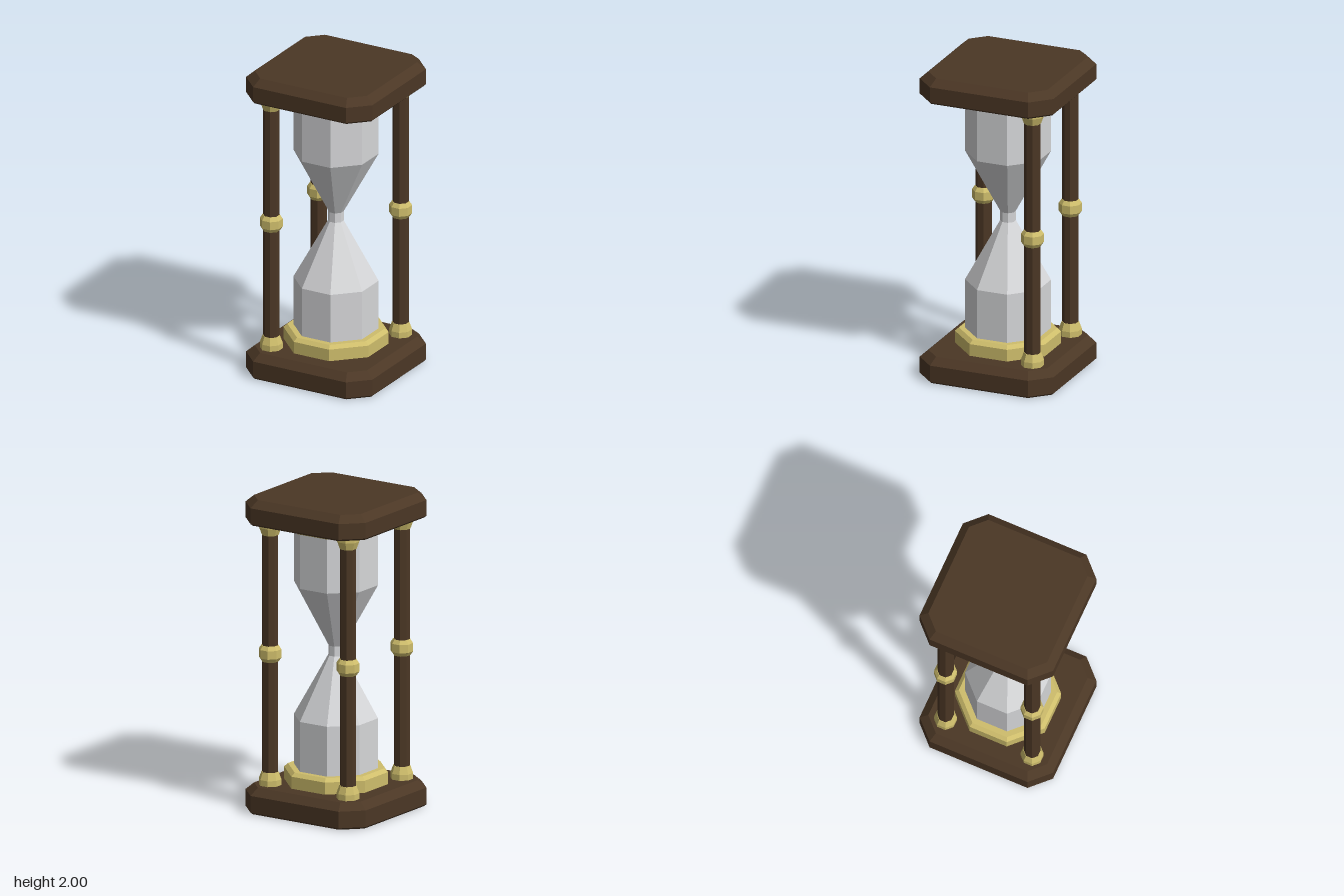
import * as THREE from 'three';

const wood = new THREE.MeshStandardMaterial({ color: 0x4b3725 });
wood.name = 'dark wood';
const brass = new THREE.MeshStandardMaterial({ color: 0xcfbe6c });
brass.name = 'brass';
const glass = new THREE.MeshStandardMaterial({ color: 0xd6d7d9 });
glass.name = 'pale glass';

// Faceted mesh: every face gets its own normal
function faceted(name, geometry, material) {
  const g = geometry.index ? geometry.toNonIndexed() : geometry;
  g.computeVertexNormals();
  const mesh = new THREE.Mesh(g, material);
  mesh.name = name;
  return mesh;
}

// Eight-sided turned part with flats facing the axes; profile is [half width, y], bottom to top
function turned(name, profile, material) {
  const k = 1 / Math.cos(Math.PI / 8);
  const points = profile.map(([r, y]) => new THREE.Vector2(r * k, y));
  return faceted(name, new THREE.LatheGeometry(points, 8, Math.PI / 8), material);
}

// Square outline with cut corners, inset evenly, anticlockwise in (x, -z)
function outline(inset) {
  const a = 0.45 - inset;
  const b = 0.78 - inset * Math.SQRT2 - a;
  return [[a, -b], [a, b], [b, a], [-b, a], [-a, b], [-a, -b], [-b, -a], [b, -a]];
}

// Plate lofted through [inset, y] sections, closed at both ends
function plate(name, sections) {
  const rings = sections.map(([inset, y]) => outline(inset).map(([x, w]) => [x, y, -w]));
  const pos = [];
  const tri = (...corners) => corners.forEach((c) => pos.push(...c));
  for (let s = 0; s < rings.length - 1; s++) {
    for (let i = 0; i < 8; i++) {
      const j = (i + 1) % 8;
      const [lo, hi] = [rings[s], rings[s + 1]];
      tri(lo[i], lo[j], hi[j]);
      tri(lo[i], hi[j], hi[i]);
    }
  }
  const bottom = rings[0];
  const top = rings[rings.length - 1];
  for (let i = 1; i < 7; i++) {
    tri(top[0], top[i], top[i + 1]);
    tri(bottom[0], bottom[i + 1], bottom[i]);
  }
  const g = new THREE.BufferGeometry();
  g.setAttribute('position', new THREE.Float32BufferAttribute(pos, 3));
  return faceted(name, g, wood);
}

// Wooden post with brass foot, middle bead and capital
function post(x, z) {
  const group = new THREE.Group();
  group.name = 'post';
  group.add(
    turned('postShaft', [[0.047, 0.15], [0.047, 1.86]], wood),
    turned('postFoot', [[0.066, 0.155], [0.066, 0.2], [0.05, 0.247], [0, 0.247]], brass),
    turned('postBead', [[0, 0.952], [0.05, 0.952], [0.066, 0.977], [0.066, 1.03], [0.05, 1.055], [0, 1.055]], brass),
    turned('postCapital', [[0, 1.76], [0.05, 1.76], [0.066, 1.808], [0.066, 1.85]], brass),
  );
  group.position.set(x, 0, z);
  return group;
}

export function createModel() {
  const model = new THREE.Group();
  model.name = 'hourglass';

  // Base and top plates
  model.add(
    plate('basePlate', [[0.012, 0], [0, 0.012], [0, 0.118], [0.05, 0.163]]),
    plate('topPlate', [[0.012, 1.843], [0, 1.855], [0, 1.955], [0.05, 2]]),
  );

  // Brass collars holding the bulbs
  model.add(
    turned('lowerCollar', [[0.303, 0.155], [0.303, 0.24], [0.28, 0.262], [0.2, 0.262]], brass),
    turned('upperCollar', [[0.2, 1.782], [0.262, 1.782], [0.288, 1.808], [0.288, 1.85]], brass),
  );

  // Two bulbs joined by a narrow neck
  model.add(turned('glassBulbs', [
    [0.245, 0.16], [0.245, 0.58], [0.045, 0.972],
    [0.045, 1.035], [0.245, 1.43], [0.245, 1.845],
  ], glass));

  // Posts at three of the four corners
  const d = 0.292;
  for (const [x, z] of [[-d, d], [d, -d], [-d, -d]]) model.add(post(x, z));

  return model;
}
